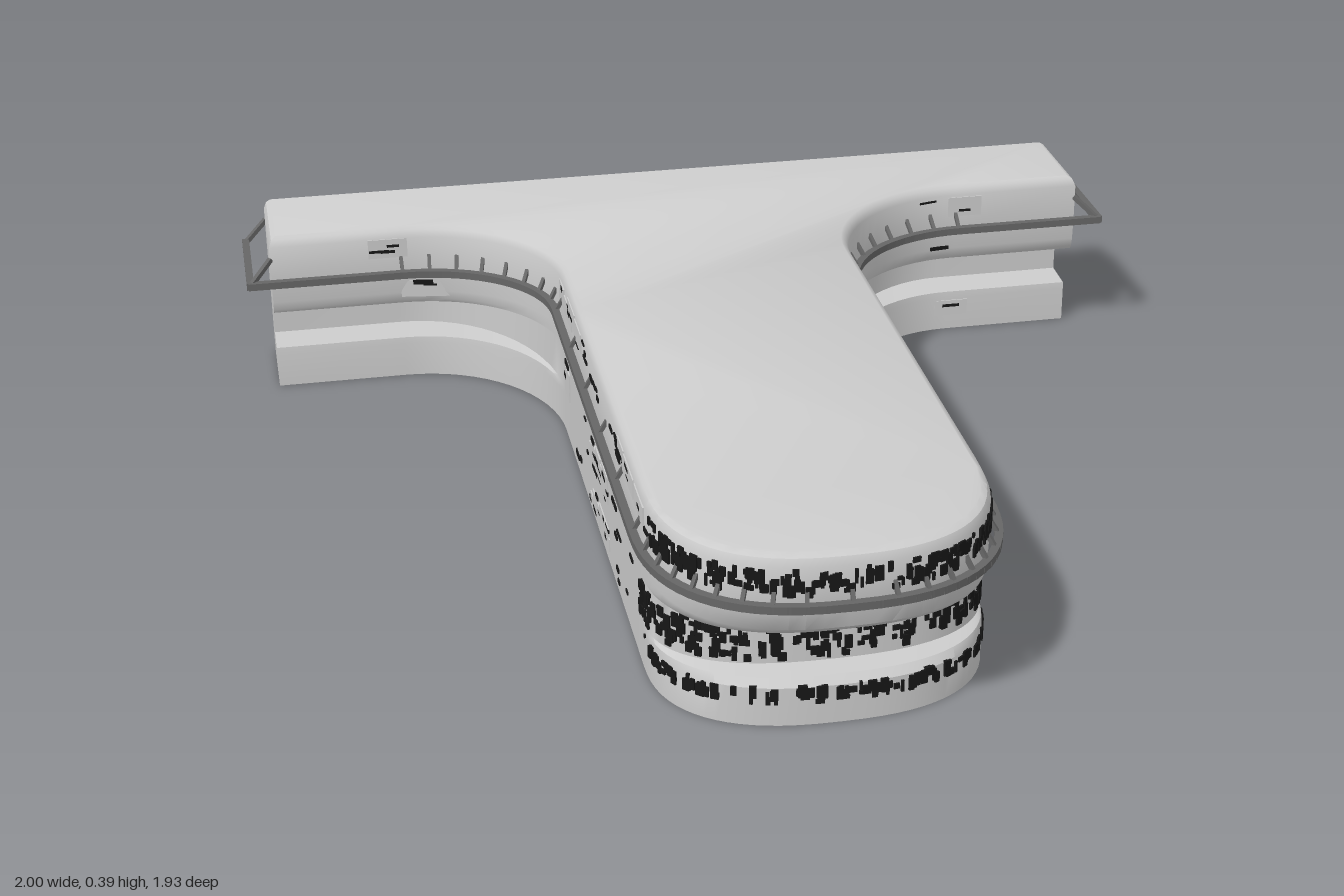
import * as THREE from 'three';
import { mergeGeometries, toCreasedNormals } from 'three/addons/utils/BufferGeometryUtils.js';

const FILLET = 16, STEM = 10, TIP = 18;

// T-shaped outline in (x, z): wing end, fillet, stem, rounded tip, then mirrored
function outline({ hw = 0.325, tip, wing, end = 0.942, back = -0.962 }) {
  const pts = [[end, back], [end, wing]];
  const cx = 0.65, cz = -0.41, tipStart = 0.61, n = 2.5;
  for (let i = 0; i <= FILLET; i++) {
    const a = (i / FILLET) * Math.PI / 2;
    pts.push([cx - (cx - hw) * Math.sin(a), cz + (wing - cz) * Math.cos(a)]);
  }
  for (let i = 1; i < STEM; i++) pts.push([hw, cz + (tipStart - cz) * i / STEM]);
  for (let i = 0; i <= TIP; i++) {
    const a = (i / TIP) * Math.PI / 2;
    const c = i === TIP ? 0 : Math.cos(a);
    pts.push([hw * c ** (2 / n), tipStart + (tip - tipStart) * Math.sin(a) ** (2 / n)]);
  }
  const mirrored = pts.slice(0, -1).reverse().map(([x, z]) => [-x, z]);
  return [...pts, ...mirrored].map(([x, z]) => new THREE.Vector2(x, z));
}

// Stacked outlines joined by walls and ledges, closed by flat caps
function loft(levels) {
  const pos = [];
  const a = new THREE.Vector3(), b = new THREE.Vector3();
  const tri = (p, q, r) => {
    a.subVectors(q, p); b.subVectors(r, p);
    if (a.cross(b).length() > 1e-9) for (const v of [p, q, r]) pos.push(v.x, v.y, v.z);
  };
  const rows = levels.map(l => outline(l).map(p => new THREE.Vector3(p.x, l.y, p.y)));
  const count = rows[0].length;
  for (let r = 0; r < rows.length - 1; r++) {
    for (let i = 0; i < count; i++) {
      const j = (i + 1) % count;
      tri(rows[r][i], rows[r + 1][i], rows[r][j]);
      tri(rows[r][j], rows[r + 1][i], rows[r + 1][j]);
    }
  }
  for (const [row, up] of [[rows[0], false], [rows[rows.length - 1], true]]) {
    const flat = row.map(v => new THREE.Vector2(v.x, v.z));
    for (const [i, j, k] of THREE.ShapeUtils.triangulateShape(flat, [])) {
      const facesUp = THREE.ShapeUtils.area([flat[i], flat[j], flat[k]]) < 0;
      if (facesUp === up) tri(row[i], row[j], row[k]);
      else tri(row[i], row[k], row[j]);
    }
  }
  const g = new THREE.BufferGeometry();
  g.setAttribute('position', new THREE.Float32BufferAttribute(pos, 3));
  return toCreasedNormals(g, 0.6);
}

// Square bar between two points
function beam(p, q, t) {
  const d = new THREE.Vector3().subVectors(q, p);
  const g = new THREE.BoxGeometry(t, t, d.length() + t * 0.5);
  const o = new THREE.Object3D();
  o.position.copy(p).add(q).multiplyScalar(0.5);
  o.lookAt(q);
  o.updateMatrix();
  return g.applyMatrix4(o.matrix);
}

function seeded(seed) {
  return () => {
    seed = (seed * 1664525 + 1013904223) % 4294967296;
    return seed / 4294967296;
  };
}

export function createModel() {
  const group = new THREE.Group();
  const grey = new THREE.MeshStandardMaterial({ color: 0xcccccc });
  const dark = new THREE.MeshStandardMaterial({ color: 0x161616 });
  const railGrey = new THREE.MeshStandardMaterial({ color: 0x666666 });
  const add = (name, geometry, material) => {
    const mesh = new THREE.Mesh(geometry, material);
    mesh.name = name;
    group.add(mesh);
  };

  // Body: base deck, recessed middle deck, curved belly and upper deck
  add('body', loft([
    { y: 0, tip: 0.88, wing: -0.77 },
    { y: 0.08, tip: 0.88, wing: -0.77 },
    { y: 0.095, tip: 0.865, wing: -0.772 },
    { y: 0.1, tip: 0.82, wing: -0.85 },
    { y: 0.2, tip: 0.82, wing: -0.85 },
    { y: 0.2, tip: 0.86, wing: -0.735 },
    { y: 0.21, tip: 0.9, wing: -0.727 },
    { y: 0.23, tip: 0.925, wing: -0.723 },
    { y: 0.28, tip: 0.94, wing: -0.72 },
    { y: 0.365, tip: 0.94, wing: -0.72 },
    { y: 0.38, tip: 0.932, wing: -0.728, hw: 0.318, end: 0.936 },
    { y: 0.386, tip: 0.918, wing: -0.738, hw: 0.308, end: 0.926 }
  ]), grey);

  // Guard rail running around the wings and stem
  const railY = 0.292;
  const rail = outline({ hw: 0.342, tip: 0.957, wing: -0.682, end: 0.99, back: -0.94 })
    .map(p => new THREE.Vector3(p.x, railY, p.y));
  const wall = outline({ tip: 0.938, wing: -0.722 }).map(p => new THREE.Vector3(p.x, 0.335, p.y));
  const bars = [];
  for (let i = 0; i < rail.length - 1; i++) bars.push(beam(rail[i], rail[i + 1], 0.016));
  add('guardRail', mergeGeometries(bars), railGrey);

  // Sloping struts from the wall down to the rail
  const struts = [];
  const half = (rail.length - 1) / 2;
  for (let i = 0; i <= half; i++) {
    if (i > 1 && i % 2) continue;
    for (const k of i === half ? [i] : [i, rail.length - 1 - i]) {
      const start = wall[k].clone();
      if (i > 1) start.y = 0.32;
      struts.push(beam(start, rail[k], i < 2 ? 0.01 : 0.008));
    }
  }
  add('railStruts', mergeGeometries(struts), railGrey);

  // Windows and panels scattered along each deck, densest at the rounded tip
  const rand = seeded(17);
  const between = (lo, hi) => lo + (hi - lo) * rand();
  const windows = [], panels = [];
  const place = (list, path, u, y, w, h, depth) => {
    const p = path.getPointAt(u), t = path.getTangentAt(u);
    const g = new THREE.BoxGeometry(w, h, depth);
    g.rotateY(Math.atan2(t.y, -t.x));
    list.push(g.translate(p.x, y, p.y));
  };
  const decks = [
    { lo: 0.305, hi: 0.365, tip: 0.94, wing: -0.72, dense: 190, sparse: 60 },
    { lo: 0.215, hi: 0.27, tip: 0.935, wing: -0.722, dense: 0, sparse: 24 },
    { lo: 0.105, hi: 0.195, tip: 0.82, wing: -0.85, dense: 230, sparse: 70 },
    { lo: 0.01, hi: 0.08, tip: 0.88, wing: -0.77, dense: 0, sparse: 36 },
    { lo: 0.045, hi: 0.085, tip: 0.88, wing: -0.77, dense: 140, sparse: 0 }
  ];
  for (const d of decks) {
    const path = new THREE.Path().setFromPoints(outline(d));
    const tipHalf = 0.46 / path.getLength();
    for (let i = 0; i < d.dense; i++) {
      const h = Math.min(between(0.006, 0.03), (d.hi - d.lo) * 0.6);
      const u = 0.5 + (rand() * 2 - 1) * tipHalf;
      place(windows, path, u, between(d.lo + h / 2, d.hi - h / 2), between(0.005, 0.018), h, 0.008);
    }
    for (let i = 0; i < d.sparse; i++) {
      let u = between(0.09, 0.5 - tipHalf);
      if (i % 2) u = 1 - u;
      const z = path.getPointAt(u).y;
      if (z < -0.42 && z > d.wing + 0.01) continue;
      const h = between(0.004, 0.012);
      place(windows, path, u, between(d.lo + h, d.hi - h), between(0.015, 0.05), h, 0.006);
      if (i % 3 === 0) {
        const ph = (d.hi - d.lo) * between(0.35, 0.8);
        place(panels, path, u, between(d.lo + ph / 2, d.hi - ph / 2), between(0.06, 0.14), ph, 0.005);
      }
    }
  }
  add('windows', mergeGeometries(windows), dark);
  add('wallPanels', mergeGeometries(panels), grey);

  return group;
}
